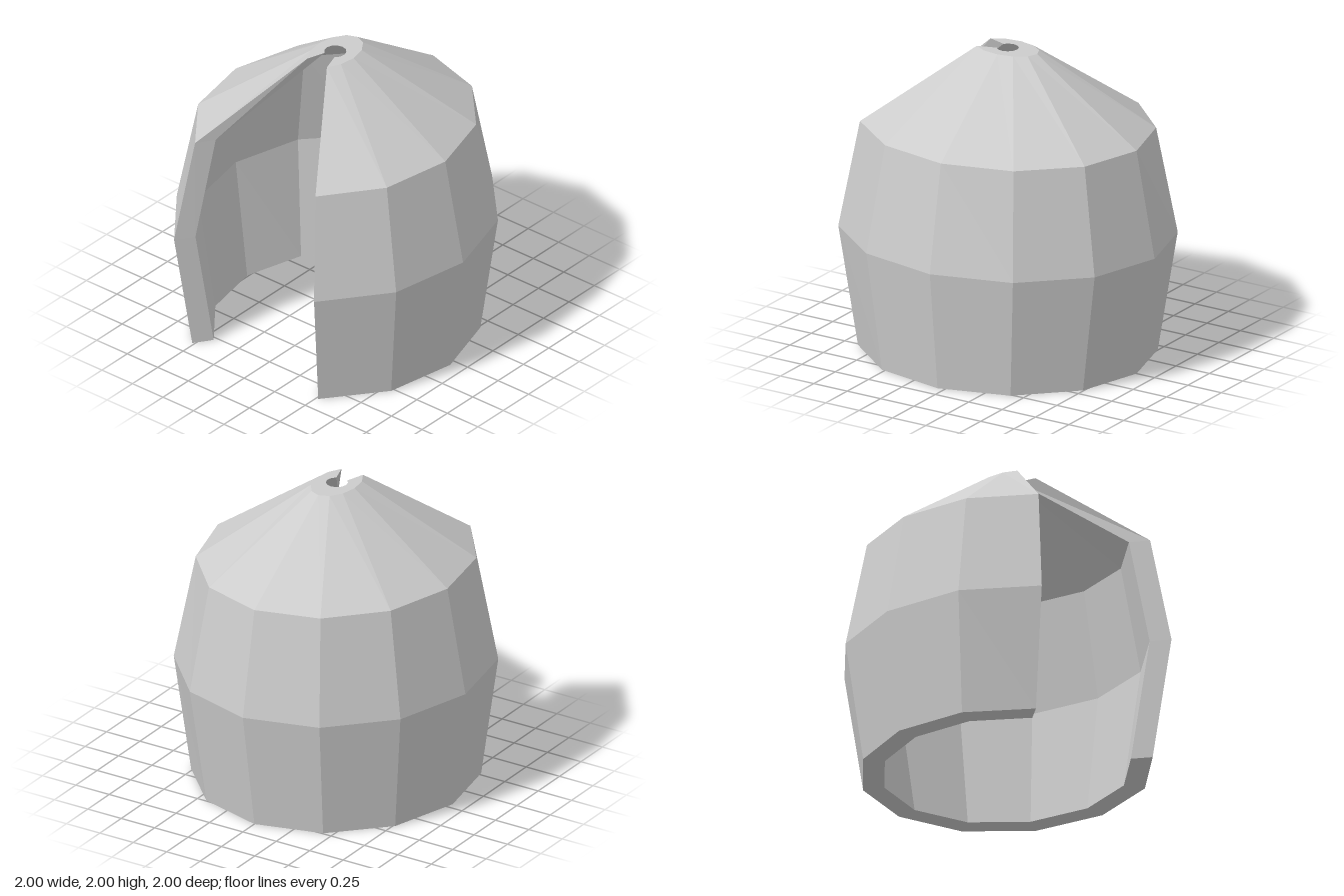
import * as THREE from 'three';

// Shell profile as [x radius, z radius, height]: up the outside, then down the inside
const PROFILE = [
  [0.9, 0.965, 0], [1, 1.1, 0.8], [0.86, 0.965, 1.5], [0.14, 0.22, 2],
  [0.07, 0.07, 2], [0.73, 0.825, 1.5], [0.86, 0.96, 0.8], [0.76, 0.825, 0],
];
const SEGMENTS = 10;
const SWEEP = THREE.MathUtils.degToRad(290);
const CENTRE_Z = 0.1;

// Point j of the profile, turned to station i (the sweep is centred on the back)
function shellPoint(i, j) {
  const [rx, rz, y] = PROFILE[j % PROFILE.length];
  const a = (i / SEGMENTS - 0.5) * SWEEP;
  return [rx * Math.sin(a), y, CENTRE_Z - rz * Math.cos(a)];
}

function shellGeometry() {
  const positions = [];
  const quad = (a, b, c, d) => positions.push(...a, ...b, ...c, ...a, ...c, ...d);

  // Outer wall, roof, top ring, inner wall and bottom rim
  for (let i = 0; i < SEGMENTS; i++) {
    for (let j = 0; j < PROFILE.length; j++) {
      quad(shellPoint(i, j), shellPoint(i, j + 1), shellPoint(i + 1, j + 1), shellPoint(i + 1, j));
    }
  }

  // Flat ends either side of the front opening
  for (let j = 0; j < 3; j++) {
    const corners = [j, j + 1, 6 - j, 7 - j];
    quad(...corners.map((k) => shellPoint(SEGMENTS, k)));
    quad(...corners.reverse().map((k) => shellPoint(0, k)));
  }

  const geometry = new THREE.BufferGeometry();
  geometry.setAttribute('position', new THREE.Float32BufferAttribute(positions, 3));
  geometry.computeVertexNormals();
  return geometry;
}

export function createModel() {
  const grey = new THREE.MeshStandardMaterial({ color: 0xcccccc, flatShading: true });
  grey.name = 'light grey';

  const shell = new THREE.Mesh(shellGeometry(), grey);
  shell.name = 'tentShell';

  const model = new THREE.Group();
  model.name = 'openTent';
  model.add(shell);
  return model;
}
